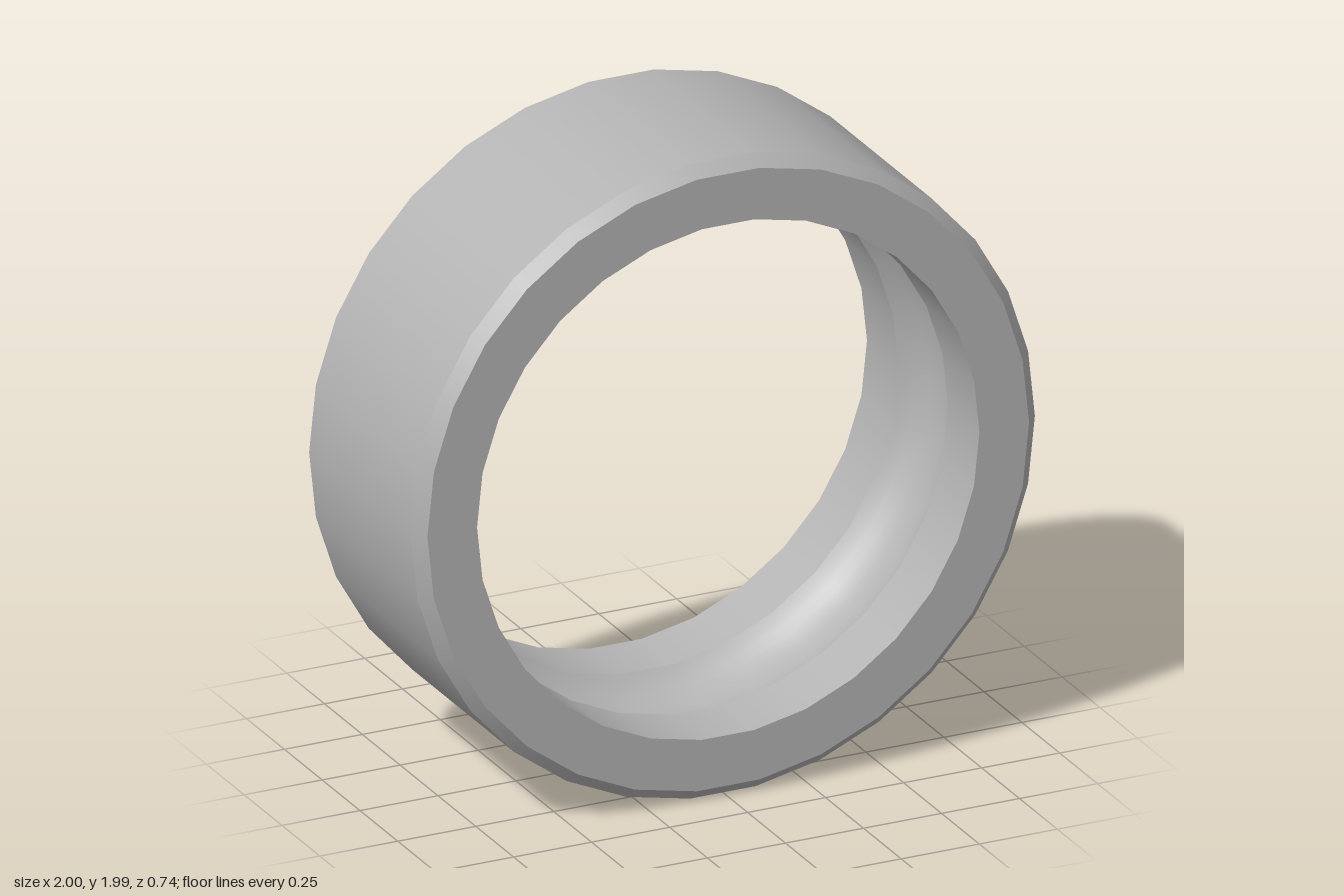
import * as THREE from 'three';

const SIDES = 30;
const OUTER = 1, BORE = 0.805, HALF = 0.372, CHAMFER = 0.036;
const GROOVE_HALF = 0.165, GROOVE_DEPTH = 0.08;

// Cross-section of the ball groove: a shallow arc, from the front edge to the back edge
function grooveProfile(steps = 14) {
  const radius = (GROOVE_HALF ** 2 + GROOVE_DEPTH ** 2) / (2 * GROOVE_DEPTH);
  const spread = Math.asin(GROOVE_HALF / radius);
  const centre = BORE + GROOVE_DEPTH - radius;
  const points = [];
  for (let i = 0; i <= steps; i++) {
    const a = spread * (1 - (2 * i) / steps);
    points.push([centre + radius * Math.cos(a), radius * Math.sin(a)]);
  }
  return points;
}

export function createModel() {
  const steel = new THREE.MeshStandardMaterial({ color: 0xb4b4b4 });
  steel.name = 'steel grey';

  const rim = OUTER - CHAMFER, wall = HALF - CHAMFER;

  // Each band is [radius, z] points; separate bands keep the edges between them sharp
  const bands = {
    outerWall: [[OUTER, -wall], [OUTER, wall]],
    frontChamfer: [[OUTER, wall], [rim, HALF]],
    frontFace: [[rim, HALF], [BORE, HALF]],
    frontShoulder: [[BORE, HALF], [BORE, GROOVE_HALF]],
    ballGroove: grooveProfile(),
    backShoulder: [[BORE, -GROOVE_HALF], [BORE, -HALF]],
    backFace: [[BORE, -HALF], [rim, -HALF]],
    backChamfer: [[rim, -HALF], [OUTER, -wall]],
  };

  const ring = new THREE.Group();
  ring.name = 'bearingOuterRing';
  for (const [name, profile] of Object.entries(bands)) {
    const points = profile.map(([r, z]) => new THREE.Vector2(r, z));
    const geometry = new THREE.LatheGeometry(points, SIDES, Math.PI / 2);
    geometry.rotateX(Math.PI / 2); // turn the axis to face the front
    const mesh = new THREE.Mesh(geometry, steel);
    mesh.name = name;
    ring.add(mesh);
  }

  // Rest the bottom facet on the ground
  ring.position.y = OUTER * Math.cos(Math.PI / SIDES);

  const model = new THREE.Group();
  model.name = 'bearingRing';
  model.add(ring);
  return model;
}
